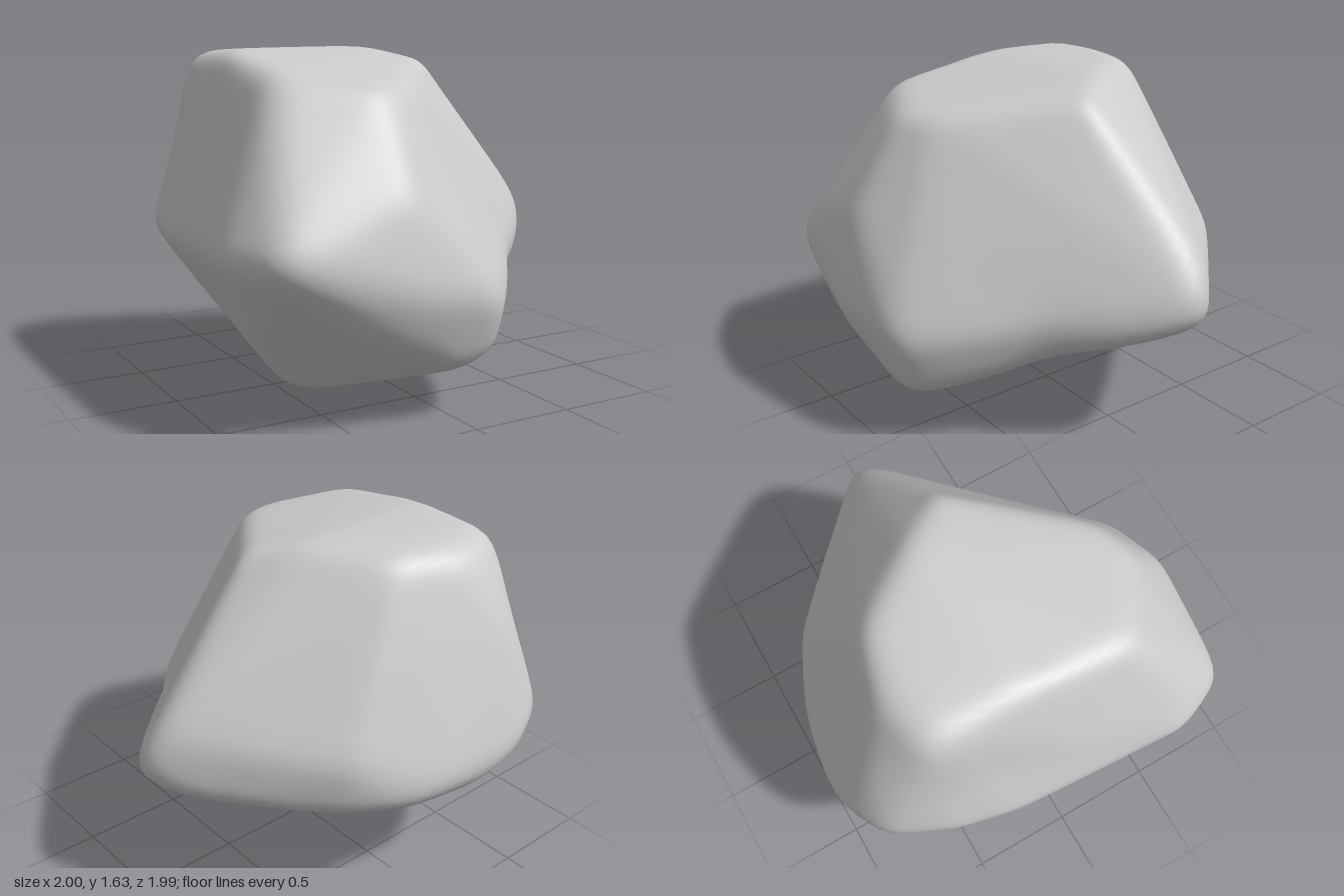
import * as THREE from 'three';
import { mergeVertices } from 'three/addons/utils/BufferGeometryUtils.js';
import { ConvexGeometry } from 'three/addons/geometries/ConvexGeometry.js';

const V = (x, y, z) => new THREE.Vector3(x, y, z);
const CENTER = V(-0.1, 0.8, 0);

// corners of the boulder, grouped by region
const top = [
  V(-0.69, 1.62, -0.58), V(-0.67, 1.63, -0.15), V(-0.71, 1.54, 0.43), V(-0.3, 1.47, 0.65), V(-0.12, 1.49, 0.58),
  V(0.31, 1.58, 0.03), V(0.16, 1.64, -0.2), V(-0.1, 1.62, -0.57), V(-0.38, 1.58, -0.66),
];
const tip = [V(0.96, 0.93, -0.13), V(1.04, 0.8, -0.08), V(1.02, 0.69, -0.05), V(0.92, 0.62, -0.22), V(0.94, 0.63, 0.06)];
const front = [
  V(0.14, 0.56, 0.98), V(-0.33, 0.63, 1.01), V(-0.3, 1.05, 0.91),
  V(0.15, 0.28, 0.88), V(0, 0.25, 0.88), V(-0.4, 0.42, 0.92), V(-0.92, 0.78, 0.93),
];
const left = [
  V(-1.03, 0.78, 0.65), V(-0.8, 0.4, 0.45), V(-0.98, 0.78, 0), V(-0.97, 0.77, -0.3),
  V(-0.9, 0.76, -0.6), V(-0.76, 0.74, -0.9),
];
const back = [
  V(-0.5, 0.68, -1.02), V(-0.3, 0.66, -1.01), V(-0.07, 0.64, -0.97), V(0.12, 0.57, -0.9), V(0.35, 0.56, -0.75),
  V(0.34, 0.8, -0.77), V(0.55, 0.56, -0.56), V(-0.55, 1.24, -0.84), V(-0.3, 0.54, -0.93),
];
const bottom = [V(-0.38, -0.01, 0.14), V(-0.52, 0.06, 0.1), V(-0.4, 0.03, -0.08), V(-0.12, 0.13, 0.58)];

// shallow hollows: place, depth, angular width
const dents = [
  { at: V(0.55, 0.48, 0.42), depth: 0.045, width: 0.33 },
  { at: V(0.28, 0.33, -0.1), depth: 0.05, width: 0.5 },
  { at: V(-0.8, 1.15, -0.42), depth: 0.035, width: 0.35 },
];

// planes of the faceted hull, relative to CENTER, moved out a little to make up for the rounding
function hullPlanes(points) {
  const p = new ConvexGeometry(points).getAttribute('position');
  const planes = [];
  for (let i = 0; i < p.count; i += 3) {
    const [a, b, c] = [0, 1, 2].map(k => V().fromBufferAttribute(p, i + k).sub(CENTER));
    const n = b.clone().sub(a).cross(c.clone().sub(a));
    if (n.length() < 1e-6) continue;
    n.normalize();
    planes.push({ n, h: n.dot(a) + 0.006 });
  }
  return planes;
}

// rounds the edges by moving each vertex towards its neighbours
function smooth(geo, rounds) {
  const pos = geo.getAttribute('position'), idx = geo.index.array;
  const near = Array.from({ length: pos.count }, () => new Set());
  for (let i = 0; i < idx.length; i += 3) {
    for (let k = 0; k < 3; k++) {
      near[idx[i + k]].add(idx[i + (k + 1) % 3]).add(idx[i + (k + 2) % 3]);
    }
  }
  for (let r = 0; r < rounds; r++) {
    const old = near.map((_, i) => V().fromBufferAttribute(pos, i));
    near.forEach((set, i) => {
      const mean = V();
      set.forEach(j => mean.add(old[j]));
      mean.divideScalar(set.size).lerp(old[i], 0.4);
      pos.setXYZ(i, mean.x, mean.y, mean.z);
    });
  }
}

function boulderGeometry() {
  const planes = hullPlanes([...top, ...tip, ...front, ...left, ...back, ...bottom]);
  let geo = new THREE.IcosahedronGeometry(1, 28);
  geo.deleteAttribute('uv');
  geo.deleteAttribute('normal');
  geo = mergeVertices(geo, 1e-4);
  const pos = geo.getAttribute('position');

  // push a sphere out to the hull, then press in the hollows
  for (let i = 0; i < pos.count; i++) {
    const d = V().fromBufferAttribute(pos, i).normalize();
    let r = Infinity;
    for (const { n, h } of planes) {
      const s = n.dot(d);
      if (s > 1e-6) r = Math.min(r, h / s);
    }
    for (const { at, depth, width } of dents) {
      const angle = d.angleTo(at.clone().sub(CENTER));
      r -= depth * Math.exp(-((angle / width) ** 2));
    }
    d.multiplyScalar(r).add(CENTER);
    pos.setXYZ(i, d.x, d.y, d.z);
  }
  smooth(geo, 6);

  // centre it and stand it on the ground
  geo.computeBoundingBox();
  const { min, max } = geo.boundingBox;
  geo.translate(-(min.x + max.x) / 2, -min.y, -(min.z + max.z) / 2);
  geo.computeVertexNormals();
  return geo;
}

export function createModel() {
  const group = new THREE.Group();
  group.name = 'rock';
  const boulder = new THREE.Mesh(boulderGeometry(), new THREE.MeshStandardMaterial({ color: 0xcccccc }));
  boulder.name = 'boulder';
  group.add(boulder);
  return group;
}
